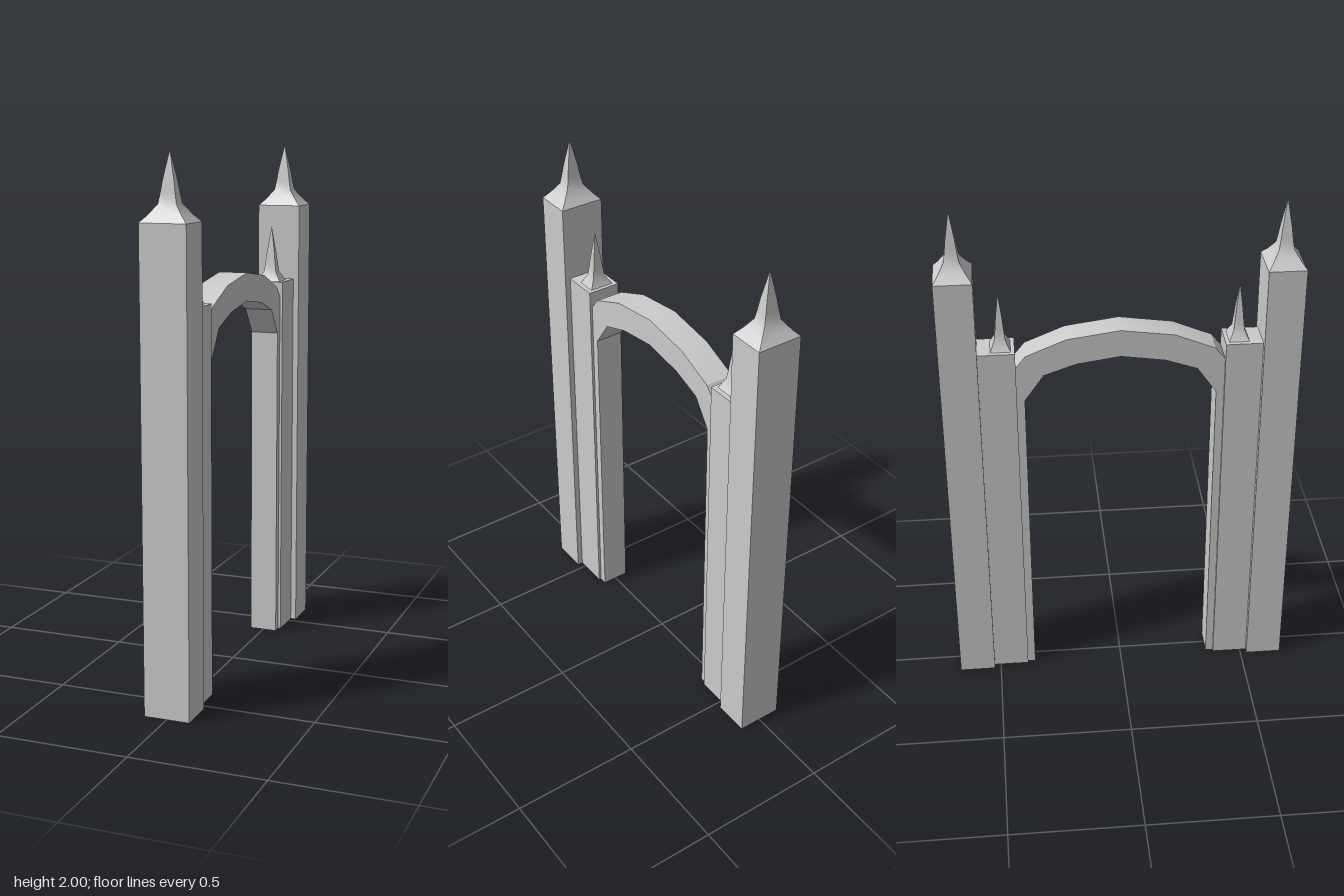
import * as THREE from 'three';
import { toCreasedNormals } from 'three/addons/utils/BufferGeometryUtils.js';

const material = new THREE.MeshStandardMaterial({ color: 0xcccccc });

function addMesh(parent, name, geometry, y, z) {
  const mesh = new THREE.Mesh(geometry, material);
  mesh.name = name;
  mesh.position.set(0, y, z);
  parent.add(mesh);
  return mesh;
}

// Four-sided concave spire; width and depth are those of its base
function spireGeometry(width, depth) {
  const profile = [[0, 0], [1, 0], [0.72, 0.025], [0.39, 0.062], [0.31, 0.1], [0.24, 0.14], [0, 0.243]]
    .map(([r, y]) => new THREE.Vector2(r * Math.SQRT1_2, y));
  const geometry = new THREE.LatheGeometry(profile, 4, Math.PI / 4);
  geometry.scale(width, 1, depth);
  return toCreasedNormals(geometry, 0.7);
}

// Square pillar standing on the ground
function pillarGeometry(width, height, depth) {
  return new THREE.BoxGeometry(width, height, depth).translate(0, height / 2, 0);
}

// Arch with its legs, drawn in the side plane and extruded across x
function archGeometry() {
  const outer = [[0.39, 0], [0.39, 1.393], [0.35, 1.443], [0.2, 1.505], [0, 1.533]];
  const inner = [[0, 1.426], [0.165, 1.402], [0.285, 1.36], [0.357, 1.257], [0.357, 0]];
  const mirror = (list) => list.map(([z, y]) => [-z, y]).reverse();
  const outline = [...outer, ...mirror(outer).slice(1), ...mirror(inner), ...inner.slice(1)];
  const shape = new THREE.Shape(outline.map(([z, y]) => new THREE.Vector2(z, y)));
  const geometry = new THREE.ExtrudeGeometry(shape, { depth: 0.11, bevelEnabled: false });
  geometry.translate(0, 0, -0.055).rotateY(Math.PI / 2);
  return toCreasedNormals(geometry, 0.5);
}

export function createModel() {
  const model = new THREE.Group();
  model.name = 'archway';

  addMesh(model, 'arch', archGeometry(), 0, 0);

  // A tall outer and a short inner pillar on each side
  for (const side of [1, -1]) {
    const tower = new THREE.Group();
    tower.name = side > 0 ? 'frontTower' : 'backTower';
    addMesh(tower, 'tallPillar', pillarGeometry(0.174, 1.757, 0.14), 0, side * 0.595);
    addMesh(tower, 'tallSpire', spireGeometry(0.174, 0.14), 1.757, side * 0.595);
    addMesh(tower, 'shortPillar', pillarGeometry(0.13, 1.46, 0.14), 0, side * 0.457);
    // Short spire is sunk a little into the pillar top
    addMesh(tower, 'shortSpire', spireGeometry(0.13, 0.104), 1.435, side * 0.439);
    model.add(tower);
  }
  return model;
}
